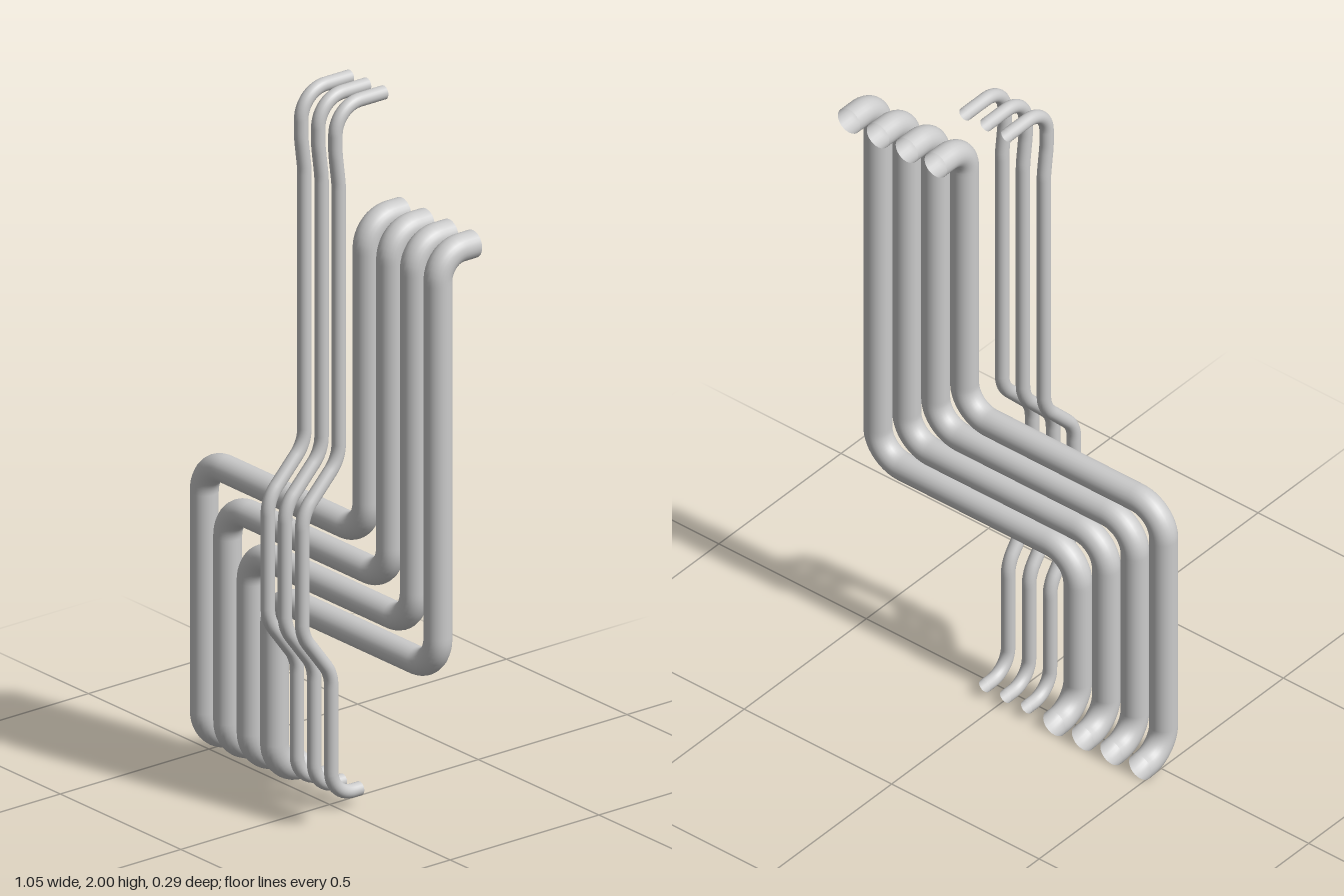
import * as THREE from 'three';

const material = new THREE.MeshStandardMaterial({ color: 0xcccccc, side: THREE.DoubleSide });

// Polyline whose inner corners are rounded; each point is [x, y, z, bendRadius]
function roundedPath(points) {
  const path = new THREE.CurvePath();
  const v = points.map(([x, y, z]) => new THREE.Vector3(x, y, z));
  let last = v[0];
  for (let i = 1; i < v.length - 1; i++) {
    const dirIn = v[i].clone().sub(v[i - 1]).normalize();
    const dirOut = v[i + 1].clone().sub(v[i]).normalize();
    const angle = dirIn.angleTo(dirOut);
    const radius = points[i][3];
    const trim = radius * Math.tan(angle / 2);
    const handle = radius * (4 / 3) * Math.tan(angle / 4);
    const start = v[i].clone().addScaledVector(dirIn, -trim);
    const end = v[i].clone().addScaledVector(dirOut, trim);
    path.add(new THREE.LineCurve3(last, start));
    path.add(new THREE.CubicBezierCurve3(
      start, start.clone().addScaledVector(dirIn, handle),
      end.clone().addScaledVector(dirOut, -handle), end));
    last = end;
  }
  path.add(new THREE.LineCurve3(last, v[v.length - 1]));
  return path;
}

// Open-ended pipe swept along a rounded path
function pipe(name, points, radius) {
  const geometry = new THREE.TubeGeometry(roundedPath(points), 200, radius, 24, false);
  const mesh = new THREE.Mesh(geometry, material);
  mesh.name = name;
  return mesh;
}

export function createModel() {
  const model = new THREE.Group();
  model.name = 'pipework';

  // Four thick pipes stepping sideways, both ends turned to the back
  const thickPipes = new THREE.Group();
  thickPipes.name = 'thickPipes';
  for (let i = 0; i < 4; i++) {
    const low = -0.485 + i * 0.097;
    const high = 0.19 + i * 0.098;
    const y = 0.828 - i * 0.097;
    const z = 0.028;
    thickPipes.add(pipe('thickPipe' + (i + 1), [
      [low, 0.038, -0.068],
      [low, 0.038, z, 0.085],
      [low, y, z, 0.09],
      [high, y, z, 0.09],
      [high, 1.707, z, 0.075],
      [high, 1.707, -0.09],
    ], 0.038));
  }
  model.add(thickPipes);

  // Three thin pipes that bulge forward over the thick ones
  const thinPipes = new THREE.Group();
  thinPipes.name = 'thinPipes';
  for (let i = 0; i < 3; i++) {
    const x = -0.098 + i * 0.071;
    thinPipes.add(pipe('thinPipe' + (i + 1), [
      [x, 0.043, -0.066],
      [x, 0.043, 0.03, 0.07],
      [x, 0.39, 0.03, 0.1],
      [x, 0.52, 0.128, 0.1],
      [x, 0.86, 0.128, 0.1],
      [x, 0.99, 0.005, 0.1],
      [x, 1.76, 0.005, 0.2],
      [x, 1.85, 0.016, 0.2],
      [x, 1.981, 0.016, 0.08],
      [x, 1.981, -0.147],
    ], 0.019));
  }
  model.add(thinPipes);

  return model;
}
